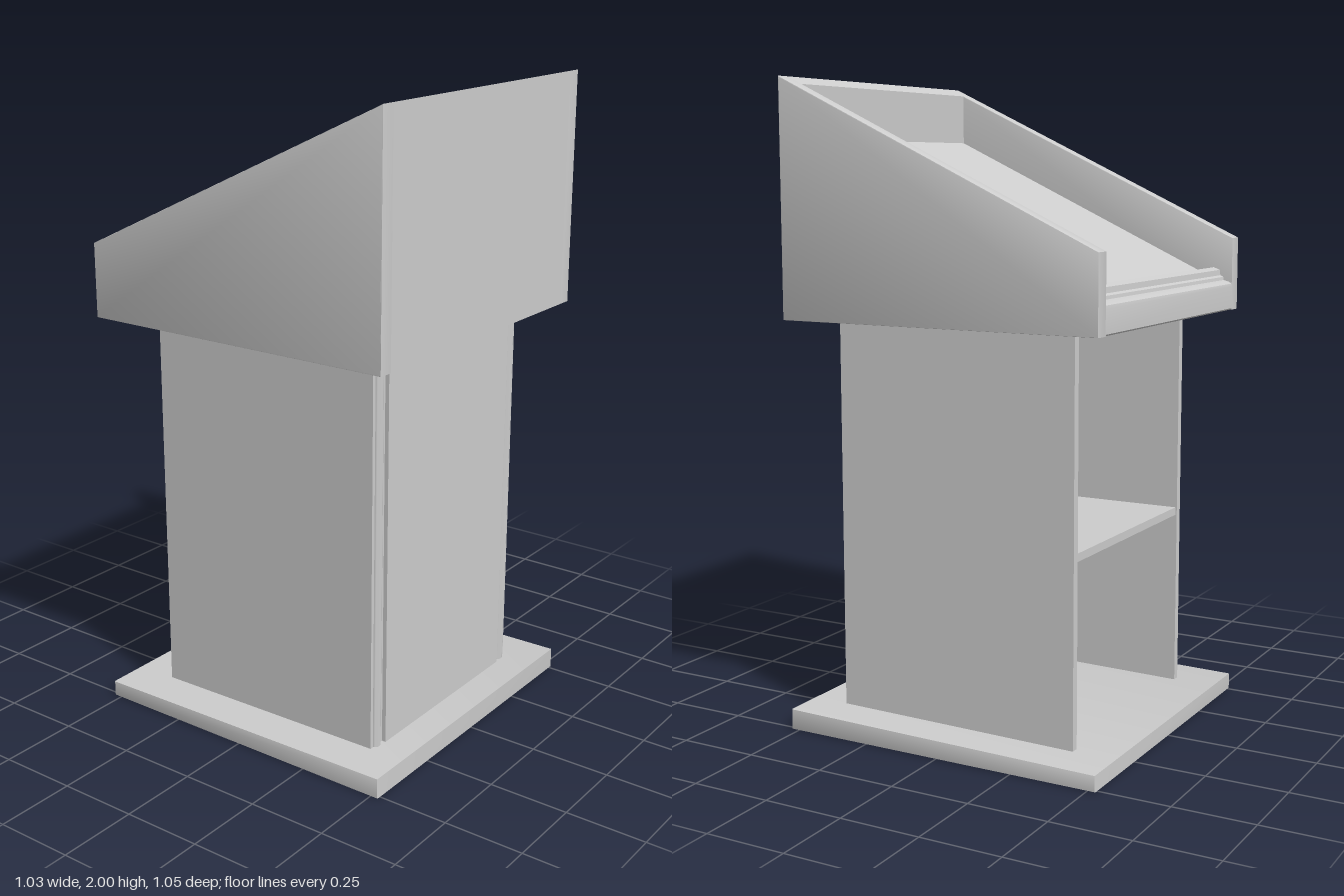
import * as THREE from 'three';
import { toCreasedNormals } from 'three/addons/utils/BufferGeometryUtils.js';

const material = new THREE.MeshStandardMaterial({ color: 0xcccccc });

function addMesh(parent, name, geometry) {
  const mesh = new THREE.Mesh(toCreasedNormals(geometry, 0.6), material);
  mesh.name = name;
  parent.add(mesh);
}

// Box given by its limits
function box(parent, name, x0, x1, y0, y1, z0, z1) {
  const g = new THREE.BoxGeometry(x1 - x0, y1 - y0, z1 - z0);
  g.translate((x0 + x1) / 2, (y0 + y1) / 2, (z0 + z1) / 2);
  addMesh(parent, name, g);
}

// Side profile of [z, y] points, extruded from x0 to x1 with a slight bevel
function profile(parent, name, points, x0, x1, bevel = 0) {
  const shape = new THREE.Shape(points.map(([z, y]) => new THREE.Vector2(z, y)));
  const g = new THREE.ExtrudeGeometry(shape, {
    depth: x1 - x0 - 2 * bevel, bevelEnabled: bevel > 0, bevelSegments: 2,
    bevelSize: bevel, bevelThickness: bevel, bevelOffset: -bevel,
  });
  g.rotateY(-Math.PI / 2);
  g.translate(x1 - bevel, 0, 0);
  addMesh(parent, name, g);
}

export function createModel() {
  const model = new THREE.Group();
  model.name = 'lectern';
  const W = 0.515, D = 0.525, T = 0.05;
  const rimY = z => 1.51 + (z + D) * 0.49 / (2 * D);   // height of the sloping rim
  const deskY = z => rimY(z) - 0.16;                   // height of the writing surface

  // Plinth, a little thinner at the back
  profile(model, 'base', [[-D, 0], [D, 0], [D, 0.065], [-D, 0.05]], -W, W, 0.004);

  // Cabinet, open at the back
  const cabinet = new THREE.Group();
  cabinet.name = 'cabinet';
  model.add(cabinet);
  box(cabinet, 'frontPanel', -0.325, 0.325, 0.04, 1.31, 0.375, 0.422);
  box(cabinet, 'shelf', -0.365, 0.365, 0.61, 0.635, -0.385, 0.38);
  for (const s of [-1, 1]) {
    const side = s < 0 ? 'right' : 'left';
    const a = s * 0.36, b = s * 0.385;
    box(cabinet, side + 'SidePanel', Math.min(a, b), Math.max(a, b), 0.04, 1.31, -0.39, 0.402);

    // Reeded corner strip: a round bead between two narrow fillets
    const strip = new THREE.Shape();
    strip.moveTo(-0.03, -0.02);
    strip.lineTo(0.03, -0.02);
    strip.lineTo(0.03, 0.004);
    strip.lineTo(0.018, 0.004);
    strip.lineTo(0.018, -0.002);
    strip.absarc(0, -0.002, 0.018, 0, Math.PI, false);
    strip.lineTo(-0.018, 0.004);
    strip.lineTo(-0.03, 0.004);
    strip.closePath();
    const g = new THREE.ExtrudeGeometry(strip, { depth: 1.27, bevelEnabled: false, curveSegments: 12 });
    // Shape y points to +z once the strip is upright
    g.rotateX(Math.PI / 2);
    g.translate(s * 0.355, 1.31, 0.405);
    addMesh(cabinet, side + 'CornerStrip', g);
  }

  // Desk head
  const head = new THREE.Group();
  head.name = 'head';
  model.add(head);
  const cheek = [[-D, 1.28], [D, 1.28], [D, 2], [-D, 1.51]];
  profile(head, 'rightCheek', cheek, -W, -W + T, 0.003);
  profile(head, 'leftCheek', cheek, W - T, W, 0.003);
  const inner = W - T + 0.004;
  profile(head, 'frontBoard',
    [[D - T, 1.28], [D, 1.28], [D, 2], [D - T, rimY(D - T)]], -inner, inner);
  box(head, 'bottomBoard', -inner, inner, 1.31, 1.335, -D + T, D - T + 0.004);
  profile(head, 'writingSurface', [
    [-0.465, deskY(-0.465) - 0.025], [0.48, deskY(0.48) - 0.025],
    [0.48, deskY(0.48)], [-0.465, deskY(-0.465)],
  ], -inner, inner);

  // Moulded back lip that steps up to a small paper stop
  profile(head, 'backLip', [
    [-0.455, 1.28], [-0.455, 1.41], [-0.462, 1.415], [-0.483, 1.407],
    [-0.485, 1.39], [-0.495, 1.385], [-0.497, 1.375], [-0.515, 1.37],
    [-0.523, 1.364], [-D, 1.355], [-D, 1.285], [-0.52, 1.28],
  ].reverse(), -inner, inner);

  return model;
}
